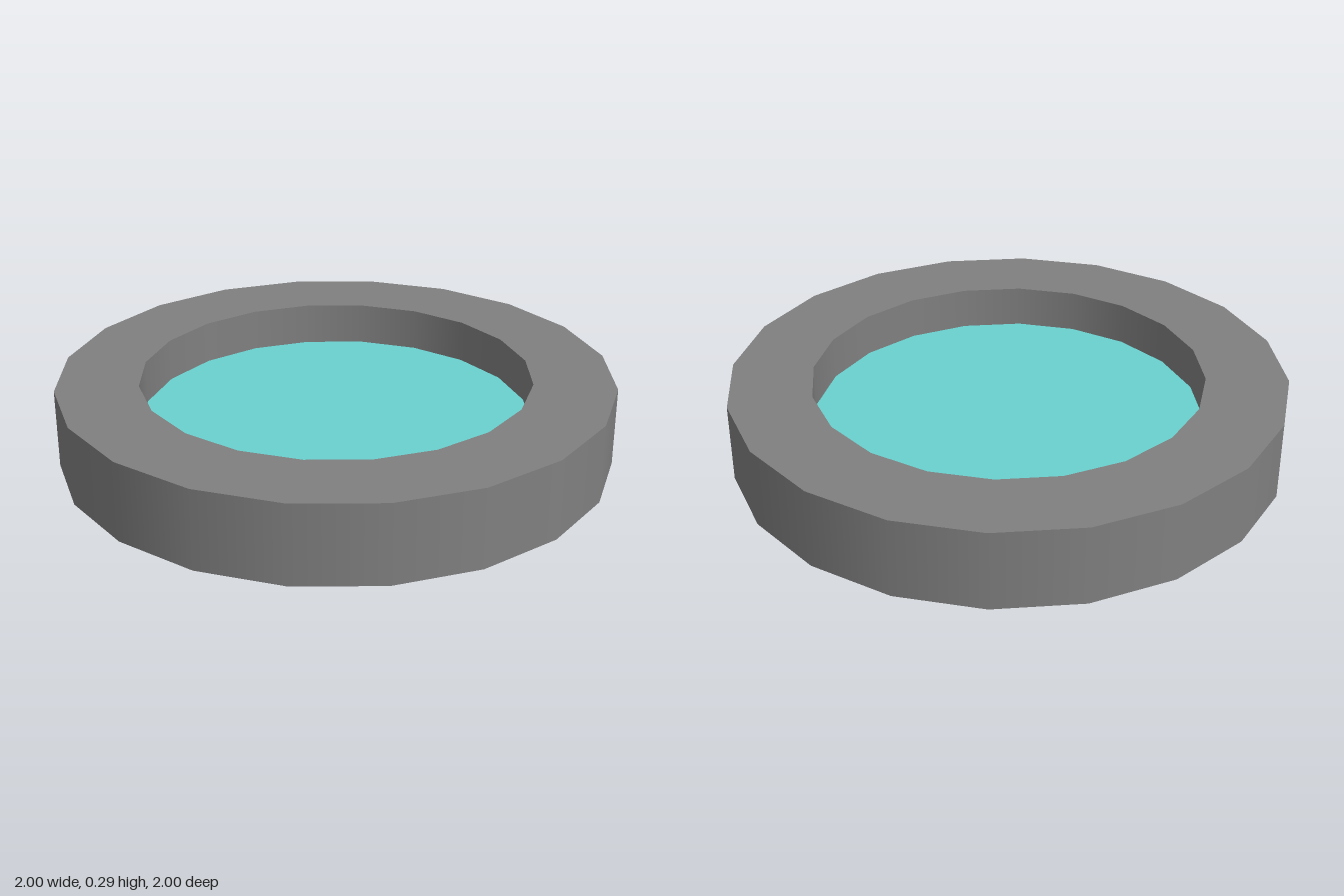
import * as THREE from 'three';

const SIDES = 20, OUTER = 1, INNER = 0.705, HEIGHT = 0.287, WATER_Y = 0.13;

export function createModel() {
  const group = new THREE.Group();
  group.name = 'roundPool';

  const stone = new THREE.MeshStandardMaterial({ color: 0x808080, side: THREE.DoubleSide });
  stone.name = 'stone grey';
  const water = new THREE.MeshStandardMaterial({ color: 0x69d1cf, side: THREE.DoubleSide });
  water.name = 'water turquoise';

  const add = (name, geometry, material) => {
    const mesh = new THREE.Mesh(geometry, material);
    mesh.name = name;
    group.add(mesh);
  };

  // Smooth open wall between two heights
  const wall = (radius, bottom, top) =>
    new THREE.CylinderGeometry(radius, radius, top - bottom, SIDES, 1, true)
      .translate(0, (top + bottom) / 2, 0);

  // Lay a flat shape down facing up at a given height
  const lay = (geometry, y) => geometry.rotateX(-Math.PI / 2).translate(0, y, 0);

  // Hollow rim, open underneath; the inner wall stops at the water
  add('outerWall', wall(OUTER, 0, HEIGHT), stone);
  add('innerWall', wall(INNER, WATER_Y, HEIGHT), stone);
  add('rimTop', lay(new THREE.RingGeometry(INNER, OUTER, SIDES), HEIGHT), stone);

  // Sunken water surface
  add('waterSurface', lay(new THREE.CircleGeometry(INNER, SIDES), WATER_Y), water);

  return group;
}
